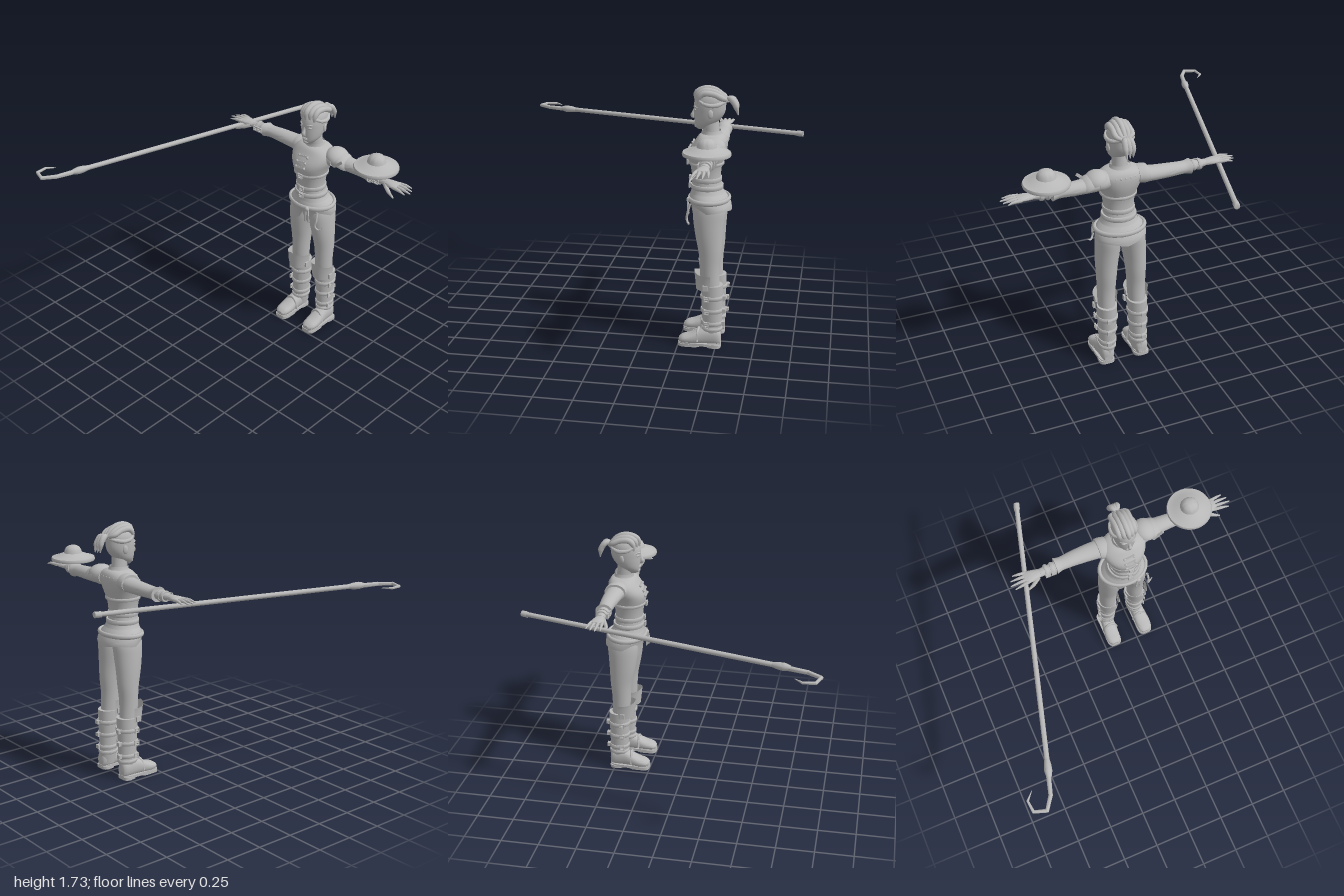
import * as THREE from 'three';
import { toCreasedNormals } from 'three/addons/utils/BufferGeometryUtils.js';

const grey = new THREE.MeshStandardMaterial({ color: 0xb8b8b8, side: THREE.DoubleSide });
grey.name = 'plain grey';
const CX = 0.205; // body centre line
const V = (x, y, z) => new THREE.Vector3(x, y, z);

function add(parent, name, geometry, pos = [0, 0, 0], rot = [0, 0, 0], scale = [1, 1, 1]) {
  const mesh = new THREE.Mesh(toCreasedNormals(geometry, 0.8), grey);
  mesh.name = name;
  mesh.position.set(...pos);
  mesh.rotation.set(...rot);
  mesh.scale.set(...scale);
  parent.add(mesh);
  return mesh;
}
const box = (g, name, size, pos, rot) => add(g, name, new THREE.BoxGeometry(...size), pos, rot);
const ball = (g, name, size, pos, rot) => add(g, name, new THREE.SphereGeometry(1, 20, 14), pos, rot, size);

// Smooth value between cross-section rows
const catmull = (a, b, c, d, t) => b + 0.5 * t * (c - a + t * (2 * a - 5 * b + 4 * c - d + t * (3 * (b - c) + d - a)));
function refine(rows, sub) {
  const out = [], at = i => rows[Math.min(rows.length - 1, Math.max(0, i))];
  for (let i = 0; i < rows.length - 1; i++)
    for (let s = 0; s < sub; s++) out.push(rows[i].map((v, k) => catmull(at(i - 1)[k], v, at(i + 1)[k], at(i + 2)[k], s / sub)));
  out.push(rows.at(-1));
  return out;
}

// Skin over elliptical rows [t, c1, c2, r1, r2]; power below 1 squares the section
function loft(rows, { axis = 'y', n = 28, sub = 3, power = 1, cap = true, warp } = {}) {
  if (rows[0][0] > rows.at(-1)[0]) rows = [...rows].reverse();
  rows = refine(rows, sub);
  const pos = [], idx = [];
  const put = (t, u, v) => { const p = axis === 'y' ? V(u, t, v) : axis === 'x' ? V(t, u, v) : V(u, v, t); if (warp) warp(p); pos.push(p.x, p.y, p.z); };
  const tri = (a, b, c) => (axis === 'y' ? idx.push(a, b, c) : idx.push(a, c, b));
  const pw = v => Math.sign(v) * Math.abs(v) ** power;
  for (const [t, c1, c2, r1, r2] of rows)
    for (let j = 0; j < n; j++) {
      const a = j / n * Math.PI * 2;
      put(t, c1 + Math.max(r1, 0.001) * pw(Math.cos(a)), c2 + Math.max(r2, 0.001) * pw(Math.sin(a)));
    }
  const m = rows.length;
  for (let i = 0; i < m - 1; i++)
    for (let j = 0; j < n; j++) {
      const a = i * n + j, b = i * n + (j + 1) % n;
      tri(a, a + n, b); tri(b, a + n, b + n);
    }
  if (cap) {
    put(...rows[0].slice(0, 3)); put(...rows[m - 1].slice(0, 3));
    for (let j = 0; j < n; j++) {
      const k = (j + 1) % n;
      tri(m * n, j, k); tri(m * n + 1, (m - 1) * n + k, (m - 1) * n + j);
    }
  }
  const g = new THREE.BufferGeometry();
  g.setAttribute('position', new THREE.Float32BufferAttribute(pos, 3));
  g.setIndex(idx);
  return g;
}

// Raised band that follows the outline of a loft at height y
function band(g, name, rows, y, h, off) {
  const i = Math.max(0, rows.findIndex((r, k) => k < rows.length - 1 && y >= r[0] && y <= rows[k + 1][0]));
  const t = (y - rows[i][0]) / (rows[i + 1][0] - rows[i][0]);
  const [, x, z, rx, rz] = rows[i].map((v, k) => v + (rows[i + 1][k] - v) * t);
  const ring = (yy, o) => [yy, x, z, rx + o, rz + o];
  add(g, name, loft([ring(y - h / 2, off * 0.6), ring(y - h / 3, off), ring(y + h / 3, off), ring(y + h / 2, off * 0.6)], { sub: 1 }));
  return { x, z, rx: rx + off, rz: rz + off };
}

// Tapered tube: radius runs along the list of radii
function tube(g, name, pts, radii, seg = 20, sides = 10) {
  const curve = new THREE.CatmullRomCurve3(pts.map(p => V(...p)));
  const geo = new THREE.TubeGeometry(curve, seg, 1, sides), p = geo.attributes.position, v = V();
  for (let i = 0; i < p.count; i++) {
    const t = Math.floor(i / (sides + 1)) / seg, c = curve.getPointAt(t), f = t * (radii.length - 1), k = Math.min(radii.length - 2, Math.floor(f));
    v.fromBufferAttribute(p, i).sub(c).multiplyScalar(radii[k] + (radii[k + 1] - radii[k]) * (f - k)).add(c);
    p.setXYZ(i, v.x, v.y, v.z);
  }
  return add(g, name, geo);
}

function buckle(g, pos, rot) {
  const b = new THREE.Group();
  b.name = 'buckle';
  b.position.set(...pos);
  if (rot) b.rotation.set(...rot);
  for (const s of [-1, 1]) {
    box(b, 'buckleBar', [0.034, 0.006, 0.01], [0, s * 0.014, 0]);
    box(b, 'buckleSide', [0.006, 0.034, 0.01], [s * 0.015, 0, 0]);
  }
  box(b, 'bucklePin', [0.03, 0.004, 0.008], [0, 0, 0.003]);
  g.add(b);
}

function head(g) {
  const rows = [[1.445, -0.375, 0.022, 0.03], [1.465, -0.382, 0.042, 0.052], [1.49, -0.398, 0.06, 0.072], [1.525, -0.412, 0.07, 0.09],
    [1.56, -0.42, 0.075, 0.1], [1.6, -0.422, 0.077, 0.103], [1.64, -0.427, 0.074, 0.098], [1.675, -0.43, 0.056, 0.076], [1.695, -0.43, 0.015, 0.02]];
  add(g, 'head', loft(rows.map(([y, z, rx, rz]) => [y, CX, z, rx, rz]), { n: 32 }));
  add(g, 'neck', loft([[1.37, CX, -0.445, 0.06, 0.06], [1.42, CX, -0.435, 0.05, 0.052], [1.5, CX, -0.425, 0.048, 0.055]]));
  tube(g, 'nose', [[CX, 1.58, -0.326], [CX, 1.55, -0.318], [CX, 1.525, -0.312], [CX, 1.517, -0.325]], [0.006, 0.009, 0.014, 0.008]);
  ball(g, 'upperLip', [0.022, 0.005, 0.01], [CX, 1.495, -0.329]);
  ball(g, 'lowerLip', [0.019, 0.006, 0.01], [CX, 1.486, -0.331]);
  ball(g, 'chin', [0.022, 0.014, 0.018], [CX, 1.464, -0.342]);
  for (const s of [-1, 1]) {
    ball(g, 'eye', [0.016, 0.008, 0.008], [CX + s * 0.033, 1.573, -0.333], [0, s * 0.4, 0]);
    tube(g, 'brow', [[CX + s * 0.014, 1.588, -0.323], [CX + s * 0.035, 1.596, -0.328], [CX + s * 0.056, 1.59, -0.348]], [0.004, 0.006, 0.003], 8, 6);
    ball(g, 'ear', [0.009, 0.028, 0.018], [CX + s * 0.078, 1.555, -0.435], [0, s * 0.3, 0]);
    tube(g, 'sideLock', [[CX + s * 0.055, 1.635, -0.355], [CX + s * 0.079, 1.615, -0.4], [CX + s * 0.074, 1.61, -0.46], [CX + s * 0.02, 1.63, -0.53]], [0.008, 0.013, 0.015, 0.008]);
  }
  // Rolled rows of hair swept to the back
  for (let i = -2; i <= 2; i++) {
    const x = CX + i * 0.026, d = Math.abs(i) * 0.012;
    tube(g, 'hairRoll', [[x, 1.625 - d / 2, -0.332 - d], [x, 1.675 - d, -0.335 - d], [x, 1.703 - d, -0.385], [x, 1.7 - d, -0.45], [x, 1.665 - d / 2, -0.505], [CX + i * 0.007, 1.635, -0.53]],
      [0.008, 0.019, 0.021, 0.02, 0.018, 0.01], 24);
  }
  // Ponytail
  add(g, 'hairTie', new THREE.TorusGeometry(0.016, 0.008, 8, 16), [CX, 1.64, -0.53], [0.5, 0, 0]);
  for (const i of [-1, 0, 1])
    tube(g, 'ponytail', [[CX, 1.64, -0.52], [CX + i * 0.016, 1.645, -0.555], [CX + i * 0.024, 1.61, -0.585], [CX + i * 0.022, 1.545, -0.6 - 0.005 * i]], [0.01, 0.021, 0.018, 0.003]);
}

function torso(g) {
  const rows = [[0.99, -0.425, 0.15, 0.125], [1.04, -0.415, 0.115, 0.105], [1.11, -0.408, 0.096, 0.092], [1.2, -0.405, 0.104, 0.1], [1.27, -0.407, 0.125, 0.12],
    [1.32, -0.418, 0.146, 0.12], [1.37, -0.435, 0.15, 0.104], [1.405, -0.44, 0.11, 0.085], [1.42, -0.438, 0.06, 0.06]].map(([y, z, rx, rz]) => [y, CX, z, rx, rz]);
  add(g, 'tunic', loft(rows, { n: 36, power: 0.92 }));
  add(g, 'collar', loft([[1.395, CX, -0.44, 0.082, 0.078], [1.42, CX, -0.437, 0.068, 0.066], [1.44, CX, -0.434, 0.062, 0.062]], { cap: false }));
  for (const [y, h] of [[1.225, 0.022], [1.12, 0.03], [1.07, 0.03]]) {
    const b = band(g, 'waistStrap', rows, y, h, 0.008);
    buckle(g, [CX + 0.005, y, b.z + b.rz + 0.006]);
  }
  // Chest fastenings
  for (const [y, z] of [[1.36, -0.322], [1.325, -0.3], [1.29, -0.289]]) {
    box(g, 'chestStrap', [0.075, 0.012, 0.014], [CX, y, z], [-0.35, 0, 0.12]);
    for (const s of [-1, 1]) ball(g, 'chestStud', [0.009, 0.009, 0.008], [CX + s * 0.034, y, z + 0.004]);
  }
  // Studs around the back of the yoke
  for (let i = 0; i < 11; i++) {
    const a = Math.PI * (0.14 + 0.072 * i);
    ball(g, 'yokeStud', [0.007, 0.007, 0.007], [CX + Math.cos(a) * 0.142, 1.375, -0.435 - Math.sin(a) * 0.1]);
  }
  // Flared skirt with a pointed, parted hem
  const hem = p => {
    if (p.y > 0.955) return;
    const a = Math.atan2(p.x - CX, p.z + 0.44), f = (0.955 - p.y) / 0.055, c = Math.abs(a);
    p.y += f * (c < 1.2 ? -0.045 * Math.sin(c / 1.2 * Math.PI) + 0.03 * Math.exp(-c * 9) : 0.02 * Math.sin((c - 1.2) / 1.94 * Math.PI) + 0.01);
  };
  add(g, 'skirt', loft([[0.9, CX, -0.45, 0.166, 0.124], [0.945, CX, -0.442, 0.168, 0.13], [0.985, CX, -0.428, 0.162, 0.13], [1.03, CX, -0.417, 0.125, 0.11]], { n: 48, cap: false, warp: hem }));
  const belt = new THREE.TorusGeometry(1, 0.085, 10, 40).rotateX(Math.PI / 2);
  add(g, 'belt', belt, [CX, 0.99, -0.428], [0.02, 0, 0], [0.162, 0.19, 0.13]);
  // Belt knot, pouch and hanging hook
  ball(g, 'beltKnot', [0.018, 0.018, 0.015], [0.265, 0.985, -0.3]);
  for (const x of [0.255, 0.28]) box(g, 'beltTail', [0.012, 0.1, 0.008], [x, 0.935, -0.297], [0.05, 0, (x - 0.265) * 4]);
  tube(g, 'hangingHook', [[0.34, 0.98, -0.32], [0.345, 0.92, -0.305], [0.34, 0.875, -0.3], [0.36, 0.85, -0.315], [0.382, 0.865, -0.325]], [0.008, 0.008, 0.008, 0.007, 0.003]);
}

function leg(g, s) {
  const at = rows => rows.map(([y, dx, z, rx, rz]) => [y, CX + s * dx, z, rx, rz]);
  add(g, 'trouserLeg', loft(at([[0.38, 0.107, -0.46, 0.054, 0.06], [0.48, 0.105, -0.452, 0.058, 0.063], [0.56, 0.104, -0.45, 0.061, 0.066], [0.65, 0.102, -0.45, 0.066, 0.075],
    [0.75, 0.097, -0.442, 0.073, 0.088], [0.85, 0.088, -0.437, 0.08, 0.1], [0.93, 0.083, -0.437, 0.08, 0.106], [0.99, 0.078, -0.435, 0.07, 0.095]])));
  const boot = at([[0.04, 0.115, -0.475, 0.046, 0.055], [0.11, 0.112, -0.472, 0.052, 0.062], [0.16, 0.11, -0.472, 0.054, 0.064], [0.25, 0.109, -0.47, 0.059, 0.067], [0.34, 0.108, -0.469, 0.064, 0.07], [0.43, 0.107, -0.466, 0.067, 0.074]]);
  add(g, 'bootShaft', loft(boot));
  band(g, 'bootCuff', boot, 0.125, 0.025, 0.008);
  for (const y of [0.165, 0.255, 0.345]) {
    const b = band(g, 'bootStrap', boot, y, 0.028, 0.008);
    buckle(g, [b.x + s * b.rx, y, b.z + 0.03], [0, s * Math.PI / 2, 0]);
    box(g, 'strapEnd', [0.03, 0.026, 0.025], [b.x + s * 0.012, y, b.z - b.rz]);
  }
  // Knee guard wraps the front only
  const guard = new THREE.CylinderGeometry(0.082, 0.07, 0.13, 16, 3, true, -1.75, 3.5), p = guard.attributes.position;
  for (let i = 0; i < p.count; i++) if (p.getY(i) > 0.06) p.setY(i, 0.065 - 0.025 * Math.abs(p.getX(i)) / 0.08);
  add(g, 'kneeGuard', guard, [CX + s * 0.108, 0.465, -0.445], [0, 0, 0], [1, 1, 1.17]);
  for (const e of [-1, 1]) box(g, 'guardClasp', [0.012, 0.035, 0.03], [CX + s * 0.108 + e * 0.077, 0.425, -0.43]);
  // Foot, sole and heel
  const x = CX + s * 0.12;
  add(g, 'foot', loft([[-0.532, x, 0.06, 0.03, 0.045], [-0.51, x, 0.07, 0.044, 0.06], [-0.44, x, 0.072, 0.048, 0.062], [-0.39, x + s * 0.003, 0.064, 0.05, 0.052], [-0.33, x + s * 0.006, 0.05, 0.053, 0.036],
    [-0.28, x + s * 0.006, 0.044, 0.047, 0.026], [-0.255, x + s * 0.004, 0.038, 0.026, 0.014]], { axis: 'z', power: 0.85 }));
  const sole = (y, t, z0, z1) => loft([[y, x + s * 0.004, (z0 + z1) / 2, 0.053, (z1 - z0) / 2], [y + t, x + s * 0.004, (z0 + z1) / 2, 0.053, (z1 - z0) / 2]], { sub: 1, power: 0.6 });
  add(g, 'sole', sole(0.01, 0.018, -0.535, -0.25));
  add(g, 'heel', sole(0, 0.02, -0.535, -0.44));
  add(g, 'frontSole', sole(0, 0.02, -0.4, -0.25));
  tube(g, 'instepStrap', [[x - 0.052, 0.04, -0.38], [x - 0.034, 0.1, -0.38], [x, 0.118, -0.385], [x + 0.034, 0.1, -0.38], [x + 0.052, 0.04, -0.38]], [0.008, 0.01, 0.008], 16, 8);
}

function arm(g, s) {
  const at = rows => rows.map(([dx, ...r]) => [CX + s * dx, ...r]);
  const L = (name, rows, o = {}) => add(g, name, loft(at(rows), { axis: 'x', ...o }));
  L('sleeve', [[0.08, 1.35, -0.455, 0.052, 0.062], [0.14, 1.345, -0.462, 0.05, 0.064], [0.22, 1.342, -0.468, 0.046, 0.06], [0.32, 1.34, -0.47, 0.043, 0.053], [0.4, 1.338, -0.468, 0.04, 0.047], [0.43, 1.337, -0.467, 0.042, 0.047], [0.46, 1.337, -0.466, 0.049, 0.056]]);
  L('sleeveCap', [[0.1, 1.352, -0.455, 0.056, 0.072], [0.14, 1.352, -0.46, 0.06, 0.076], [0.165, 1.352, -0.463, 0.056, 0.072]], { sub: 2 });
  L('forearm', [[0.44, 1.337, -0.465, 0.033, 0.038], [0.52, 1.337, -0.462, 0.026, 0.031], [0.57, 1.338, -0.46, 0.021, 0.028]]);
  for (const d of [0.485, 0.525]) {
    L('wristStrap', [[d - 0.012, 1.337, -0.463, 0.034, 0.038], [d, 1.337, -0.463, 0.037, 0.041], [d + 0.012, 1.337, -0.463, 0.033, 0.037]], { sub: 2 });
    buckle(g, [CX + s * d, 1.337, -0.42]);
  }
  L('palm', [[0.56, 1.338, -0.46, 0.018, 0.026], [0.6, 1.34, -0.46, 0.019, 0.036], [0.64, 1.342, -0.46, 0.017, 0.043], [0.675, 1.342, -0.461, 0.011, 0.042]]);
  for (let i = 0; i < 4; i++) {
    const z = -0.495 + i * 0.023, k = i - 1.5, end = [0.742, 0.765, 0.775, 0.755][i];
    tube(g, 'finger', [[CX + s * 0.655, 1.342, z], [CX + s * 0.71, 1.343, z + k * 0.005], [CX + s * end, 1.336, z + k * 0.009]], [0.012, 0.0105, 0.004], 10, 8);
  }
  tube(g, 'thumb', [[CX + s * 0.585, 1.335, -0.435], [CX + s * 0.63, 1.315, -0.41], [CX + s * 0.685, 1.292, -0.392]], [0.014, 0.013, 0.005], 10, 8);
}

function shield(g) {
  const profile = [[0, 1.41], [0.13, 1.403], [0.146, 1.4], [0.149, 1.41], [0.144, 1.422], [0.132, 1.423], [0.1, 1.436], [0.062, 1.45], [0.056, 1.47], [0.045, 1.489], [0.025, 1.499], [0, 1.502]];
  add(g, 'shield', new THREE.LatheGeometry(profile.map(p => new THREE.Vector2(...p)), 36), [0.692, 0, -0.465]);
  box(g, 'shieldGrip', [0.1, 0.02, 0.03], [0.692, 1.393, -0.465]);
  add(g, 'shieldStrap', new THREE.TorusGeometry(0.045, 0.007, 8, 24), [0.692, 1.35, -0.465], [0, Math.PI / 2, 0]);
}

function shoulderPad(g) {
  const dome = () => new THREE.SphereGeometry(1, 24, 10, 0, Math.PI * 2, 0, Math.PI / 2);
  add(g, 'shoulderPlate', dome(), [0.375, 1.365, -0.463], [0, 0, -0.3], [0.078, 0.06, 0.083]);
  add(g, 'upperArmPlate', dome(), [0.425, 1.345, -0.463], [0, 0, -0.55], [0.075, 0.055, 0.076]);
  box(g, 'padStrap', [0.09, 0.018, 0.012], [0.44, 1.36, -0.392], [0, 0, 0.7]);
}

function staff(g) {
  const y = 1.308, P = z => [-0.32 - (z + 0.99) * 0.275, y, z];
  tube(g, 'staffPole', [P(-0.99), P(0.72)], [0.016, 0.016, 0.0165, 0.016], 12, 12);
  tube(g, 'staffEndCap', [P(-0.995), P(-0.955)], [0.02, 0.02], 2, 12);
  tube(g, 'staffSocket', [P(0.69), P(0.8)], [0.016, 0.023, 0.025, 0.016], 9, 12);
  const bends = [[-0.812, 0.79], [-0.845, 0.905], [-0.9, 0.985], [-0.978, 0.96], [-0.986, 0.885], [-0.94, 0.835]], r = [0.016, 0.014, 0.012, 0.01, 0.008, 0.002];
  for (let i = 0; i < 5; i++) {
    const [a, b] = [bends[i], bends[i + 1]];
    tube(g, 'staffHook', [[a[0], y - 0.003, a[1]], [b[0], y - 0.003, b[1]]], [r[i], r[i + 1]], 2, 10);
    if (i) ball(g, 'hookBend', [r[i], r[i], r[i]], [a[0], y - 0.003, a[1]]);
  }
  ball(g, 'staffEnd', [0.02, 0.02, 0.004], P(-0.994));
}

export function createModel() {
  const model = new THREE.Group();
  model.name = 'staffBearer';
  const part = (name, build, ...args) => { const g = new THREE.Group(); g.name = name; build(g, ...args); model.add(g); };
  part('headGroup', head);
  part('torsoGroup', torso);
  for (const [side, s] of [['right', -1], ['left', 1]]) {
    part(side + 'Leg', leg, s);
    part(side + 'Arm', arm, s);
  }
  part('shieldGroup', shield);
  part('shoulderPad', shoulderPad);
  part('staff', staff);
  return model;
}
